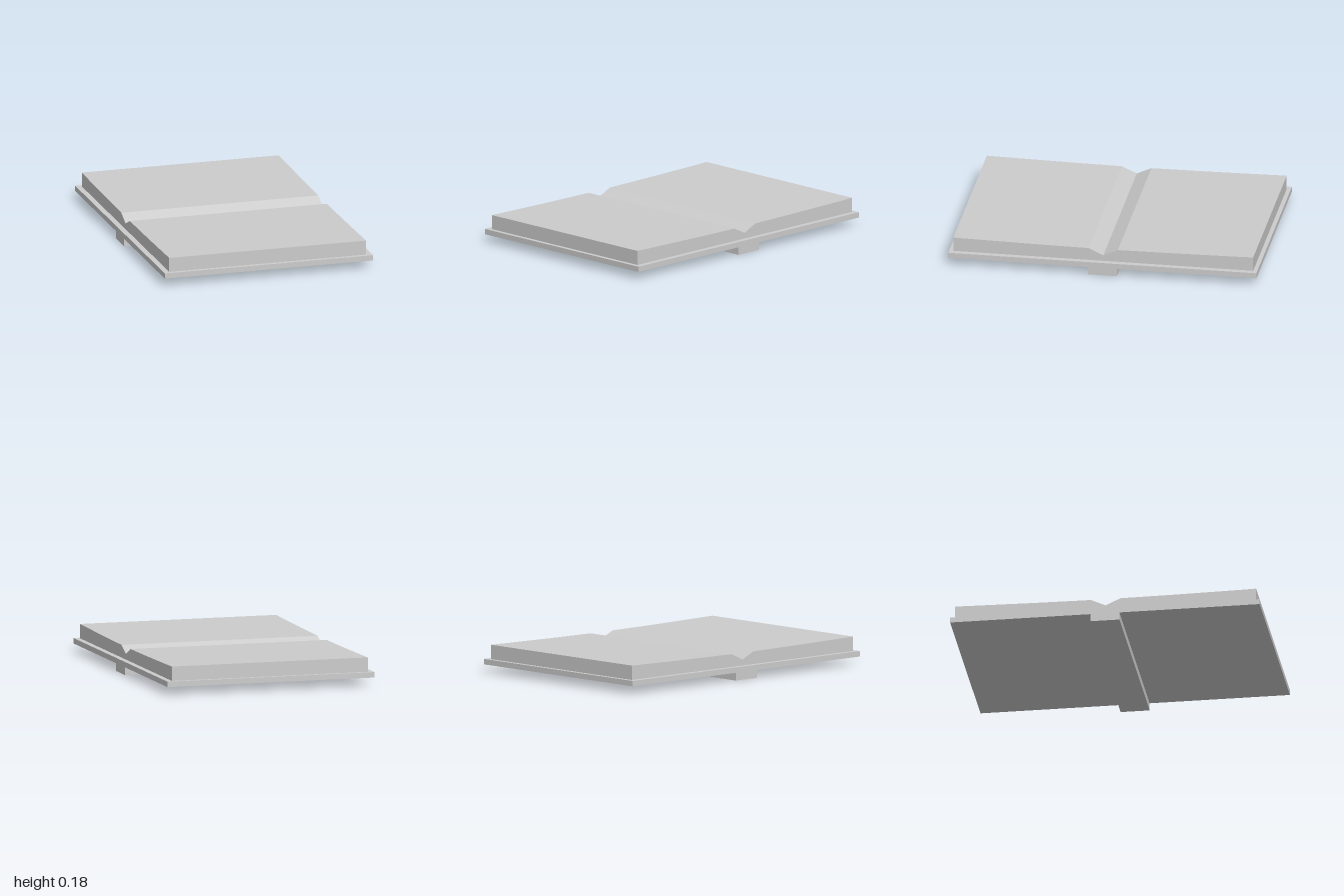
import * as THREE from 'three';

export function createModel() {
  const model = new THREE.Group();
  model.name = 'openBook';
  const material = new THREE.MeshStandardMaterial({ color: 0xcccccc });

  const add = (name, geometry) => {
    const mesh = new THREE.Mesh(geometry, material);
    mesh.name = name;
    model.add(mesh);
  };

  const slab = (name, width, depth, bottom, top) =>
    add(name, new THREE.BoxGeometry(width, top - bottom, depth).translate(0, (top + bottom) / 2, 0));

  // Spine strip underneath and the opened cover on top of it
  slab('spine', 1.39, 0.188, 0, 0.05);
  slab('cover', 1.39, 2, 0.05, 0.085);

  // Page block: half of its top edge from the gutter outwards, mirrored across the fold
  const half = [[0.095, 0.167], [0.46, 0.17], [0.88, 0.176], [0.973, 0.178]];
  const outline = [
    [-0.973, 0.085], [0.973, 0.085],
    ...half.slice().reverse(),
    [0, 0.123],
    ...half.map(([z, y]) => [-z, y]),
  ];
  const shape = new THREE.Shape(outline.map(([z, y]) => new THREE.Vector2(z, y)));
  const width = 1.316;
  const pages = new THREE.ExtrudeGeometry(shape, { depth: width, bevelEnabled: false });
  pages.translate(0, 0, -width / 2).rotateY(-Math.PI / 2);
  add('pages', pages);

  return model;
}
